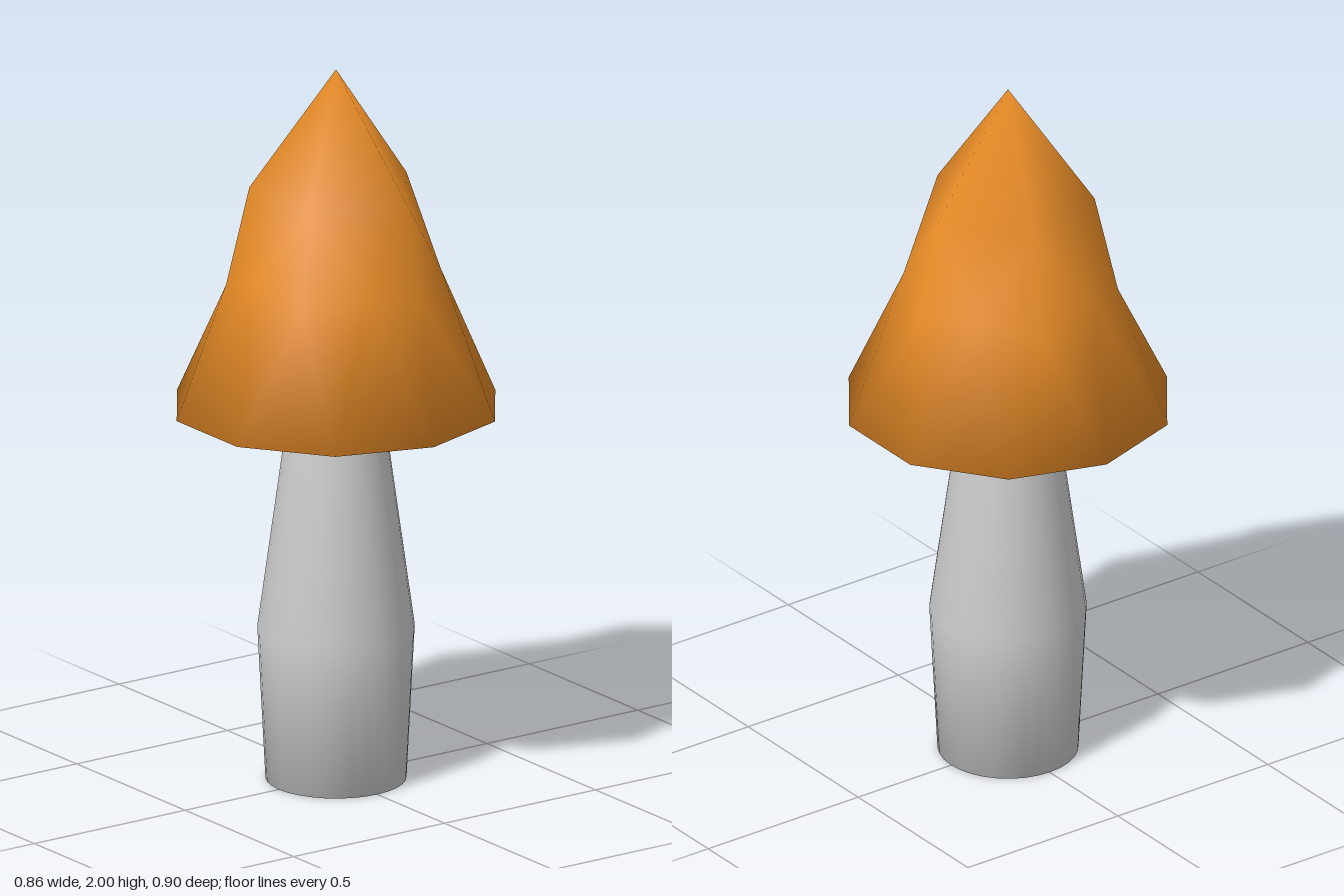
import * as THREE from 'three';

// Points on a level ring: count, first angle in degrees, radius, height
function ring(count, startDeg, radius, y) {
  return Array.from({ length: count }, (_, i) => {
    const a = THREE.MathUtils.degToRad(startDeg + (i * 360) / count);
    return new THREE.Vector3(Math.cos(a) * radius, y, Math.sin(a) * radius);
  });
}

// Pointed cap: a stretched half icosphere, closed by a flat underside
function capGeometry() {
  const points = [
    new THREE.Vector3(0, 2, 0),      // 0: tip
    ...ring(5, 0, 0.233, 1.667),     // 1-5: shoulder
    ...ring(5, 0, 0.296, 1.39),      // 6-10: waist corners
    ...ring(5, 36, 0.281, 1.44),     // 11-15: waist midpoints
    ...ring(10, 18, 0.45, 1.05),     // 16-25: rim
  ];
  const shoulder = (k) => 1 + (k % 5);
  const corner = (k) => 6 + (k % 5);
  const mid = (k) => 11 + (k % 5);
  const rim = (k) => 16 + ((k + 10) % 10);

  const index = [];
  for (let k = 0; k < 5; k++) {
    index.push(
      0, shoulder(k + 1), shoulder(k),
      shoulder(k), mid(k), corner(k),
      shoulder(k), shoulder(k + 1), mid(k),
      shoulder(k + 1), corner(k + 1), mid(k),
      corner(k), rim(2 * k), rim(2 * k - 1),
      corner(k), mid(k), rim(2 * k),
      mid(k), rim(2 * k + 1), rim(2 * k),
      mid(k), corner(k + 1), rim(2 * k + 1),
    );
  }
  // Underside
  for (let k = 1; k < 9; k++) index.push(rim(0), rim(k), rim(k + 1));

  const geometry = new THREE.BufferGeometry().setFromPoints(points);
  geometry.setIndex(index);
  geometry.computeVertexNormals();
  // Soft rim: normals lean outward and a little down
  for (let i = 16; i < 26; i++) {
    const n = points[i].clone().setY(0).normalize().multiplyScalar(0.93).setY(-0.37);
    geometry.attributes.normal.setXYZ(i, n.x, n.y, n.z);
  }
  return geometry;
}

export function createModel() {
  const orange = new THREE.MeshStandardMaterial({ color: 0xe58a26 });
  orange.name = 'cap orange';
  const grey = new THREE.MeshStandardMaterial({ color: 0xcccccc });
  grey.name = 'stem grey';

  const group = new THREE.Group();
  group.name = 'mushroom';

  const cap = new THREE.Mesh(capGeometry(), orange);
  cap.name = 'cap';

  // Round stem, widest below the middle, ending inside the cap
  const profile = [[0, 0], [0.19, 0], [0.212, 0.43], [0.127, 1.05], [0.12, 1.1], [0, 1.1]]
    .map(([r, y]) => new THREE.Vector2(r, y));
  const stem = new THREE.Mesh(new THREE.LatheGeometry(profile, 32), grey);
  stem.name = 'stem';

  group.add(cap, stem);
  return group;
}
